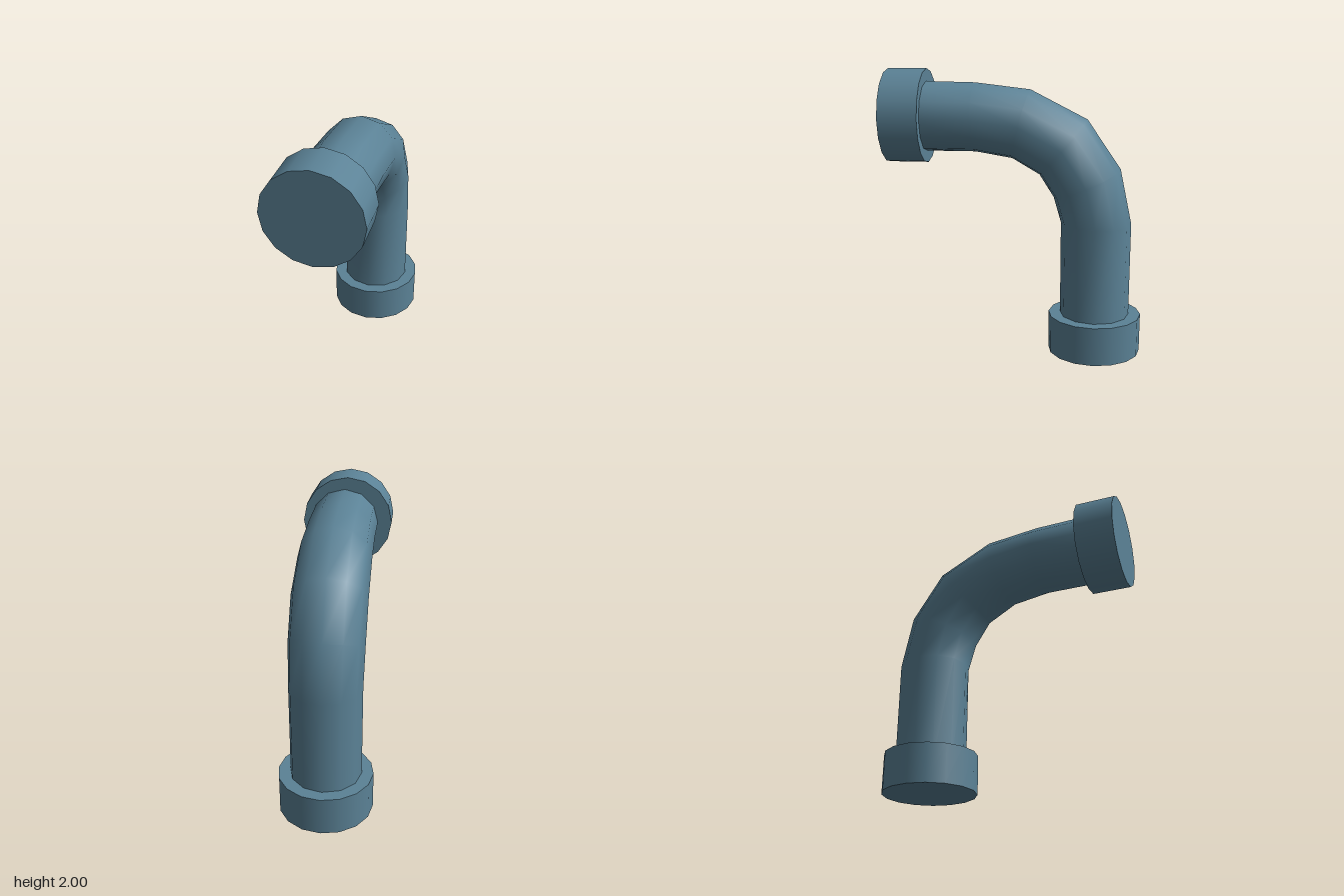
import * as THREE from 'three';

export function createModel() {
  const group = new THREE.Group();
  group.name = 'pipeElbow';
  const material = new THREE.MeshStandardMaterial({ color: 0x5b8296 });

  // Bent pipe: each section gives outer (z, y), inner (z, y) and half width
  const sections = [
    [-0.812, 0.15, -0.322, 0.15, 0.246],
    [-0.812, 0.934, -0.32, 0.934, 0.246],
    [-0.728, 1.32, -0.267, 1.114, 0.252],
    [-0.494, 1.66, -0.166, 1.273, 0.254],
    [-0.1, 1.861, 0.026, 1.385, 0.252],
    [0.285, 1.906, 0.285, 1.428, 0.247],
    [0.75, 1.915, 0.75, 1.428, 0.247],
  ];
  const sides = 12;
  const positions = [];
  const indices = [];
  sections.forEach(([oz, oy, iz, iy, w], s) => {
    for (let k = 0; k < sides; k++) {
      const a = (k / sides) * Math.PI * 2;
      const t = (1 + Math.cos(a)) / 2;
      positions.push(0.009 + w * Math.sin(a), iy + (oy - iy) * t, iz + (oz - iz) * t);
      if (s === sections.length - 1) continue;
      const p = s * sides + k;
      const q = s * sides + ((k + 1) % sides);
      indices.push(p, p + sides, q, q, p + sides, q + sides);
    }
  });
  const pipeGeometry = new THREE.BufferGeometry();
  pipeGeometry.setAttribute('position', new THREE.Float32BufferAttribute(positions, 3));
  pipeGeometry.setIndex(indices);
  pipeGeometry.computeVertexNormals();
  const pipe = new THREE.Mesh(pipeGeometry, material);
  pipe.name = 'bentPipe';
  group.add(pipe);

  // Collars capping both ends
  const addCollar = (name, x, y, z, tilt) => {
    const collar = new THREE.Mesh(new THREE.CylinderGeometry(0.328, 0.328, 0.272, 16), material);
    collar.name = name;
    collar.position.set(x, y, z);
    collar.rotation.x = tilt;
    group.add(collar);
  };
  addCollar('bottomCollar', 0.01, 0.136, -0.568, 0);
  addCollar('frontCollar', -0.012, 1.672, 0.764, Math.PI / 2);

  return group;
}
